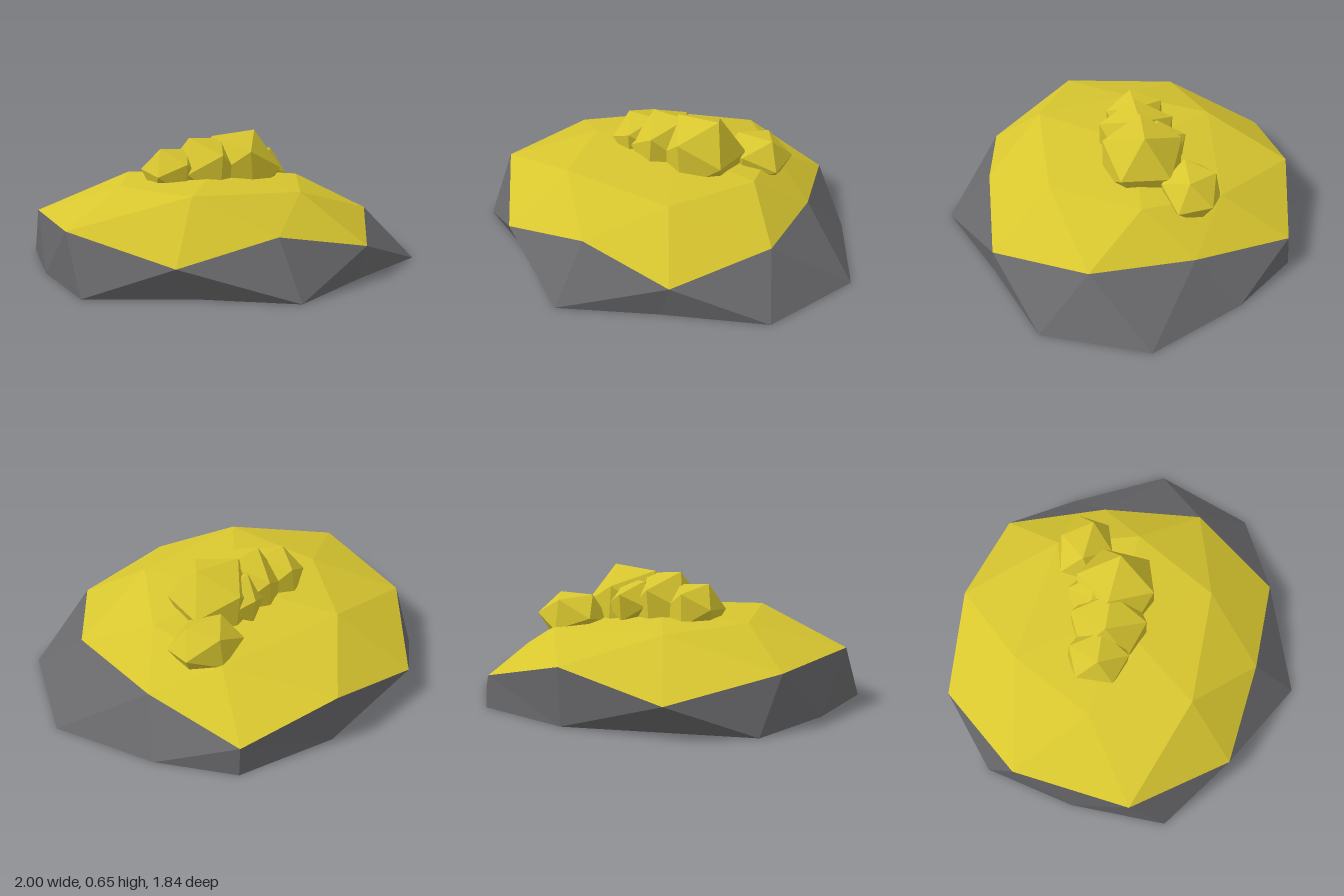
import * as THREE from 'three';

// Stitches two closed loops: 'o' steps along the outer loop, 'i' along the inner one
function stitch(inner, outer, steps) {
  const pos = [];
  let a = 0, b = 0;
  for (const s of steps) {
    const p = inner[a % inner.length], q = outer[b % outer.length];
    const r = s === 'o' ? outer[++b % outer.length] : inner[++a % inner.length];
    pos.push(...p, ...q, ...r);
  }
  return pos;
}

function facets(pos) {
  const g = new THREE.BufferGeometry();
  g.setAttribute('position', new THREE.Float32BufferAttribute(pos, 3));
  g.computeVertexNormals();
  return g;
}

export function createModel() {
  const yellow = new THREE.MeshStandardMaterial({ color: 0xd8c62f, flatShading: true, side: THREE.DoubleSide });
  yellow.name = 'yellow ore';
  const grey = new THREE.MeshStandardMaterial({ color: 0x68686b, flatShading: true, side: THREE.DoubleSide });
  grey.name = 'grey stone';

  const model = new THREE.Group();
  model.name = 'oreMound';
  const add = (name, geometry, material) => {
    const m = new THREE.Mesh(geometry, material);
    m.name = name;
    model.add(m);
    return m;
  };

  // Loops of the mound, each from the front centre round through +x
  const ground = [[-0.09, 0.92], [0.365, 0.675], [0.84, 0.45], [1, -0.08], [0.72, -0.55], [0.43, -0.85],
    [-0.09, -0.91], [-0.51, -0.735], [-0.93, -0.56], [-1, -0.08], [-0.97, 0.42], [-0.5, 0.64]]
    .map(([x, z]) => [x, 0, z]);
  const rim = [[-0.09, 0.26, 0.69], [0.41, 0.16, 0.67], [0.69, 0.24, 0.2], [0.61, 0.22, -0.33], [0.42, 0.16, -0.84],
    [-0.09, 0.28, -0.92], [-0.62, 0.16, -0.86], [-0.95, 0.26, -0.39], [-0.98, 0.28, 0.23], [-0.6, 0.16, 0.67]];
  const shoulder = [[0.2, 0.395, 0.37], [0.42, 0.4, -0.08], [0.29, 0.36, -0.5],
    [-0.4, 0.4, -0.53], [-0.6, 0.41, -0.08], [-0.41, 0.43, 0.41]];
  const peak = [[-0.08, 0.445, -0.08]];

  add('stoneSkirt', facets(stitch(rim, ground, 'iooioioiooi'.repeat(2))), grey);
  add('oreCap', facets([
    ...stitch(shoulder, rim, 'ooioiooi'.repeat(2)),
    ...stitch(peak, shoulder, 'oooooo'),
  ]), yellow);

  // Faceted nuggets: name, centre, radii, tilt about x, y and z
  const nuggets = [
    ['largeNugget', [0.07, 0.445, -0.115], [0.24, 0.235, 0.24], [0, 0, 0.08]],
    ['middleNugget', [-0.13, 0.45, -0.1], [0.185, 0.21, 0.23], [0, 0.1, -0.08]],
    ['leftNugget', [-0.305, 0.455, -0.11], [0.155, 0.15, 0.18], [0.1, 0.12, -0.08]],
    ['rightNugget', [0.28, 0.395, -0.345], [0.2, 0.145, 0.165], [0.2, 0, 0]],
    ['rearNugget', [0, 0.48, -0.2], [0.13, 0.13, 0.17], [-0.1, 0.1, 0]],
  ];
  for (const [name, centre, radii, tilt] of nuggets) {
    const m = add(name, new THREE.IcosahedronGeometry(1, 0), yellow);
    m.position.set(...centre);
    m.scale.set(...radii);
    m.rotation.set(...tilt);
  }
  return model;
}
